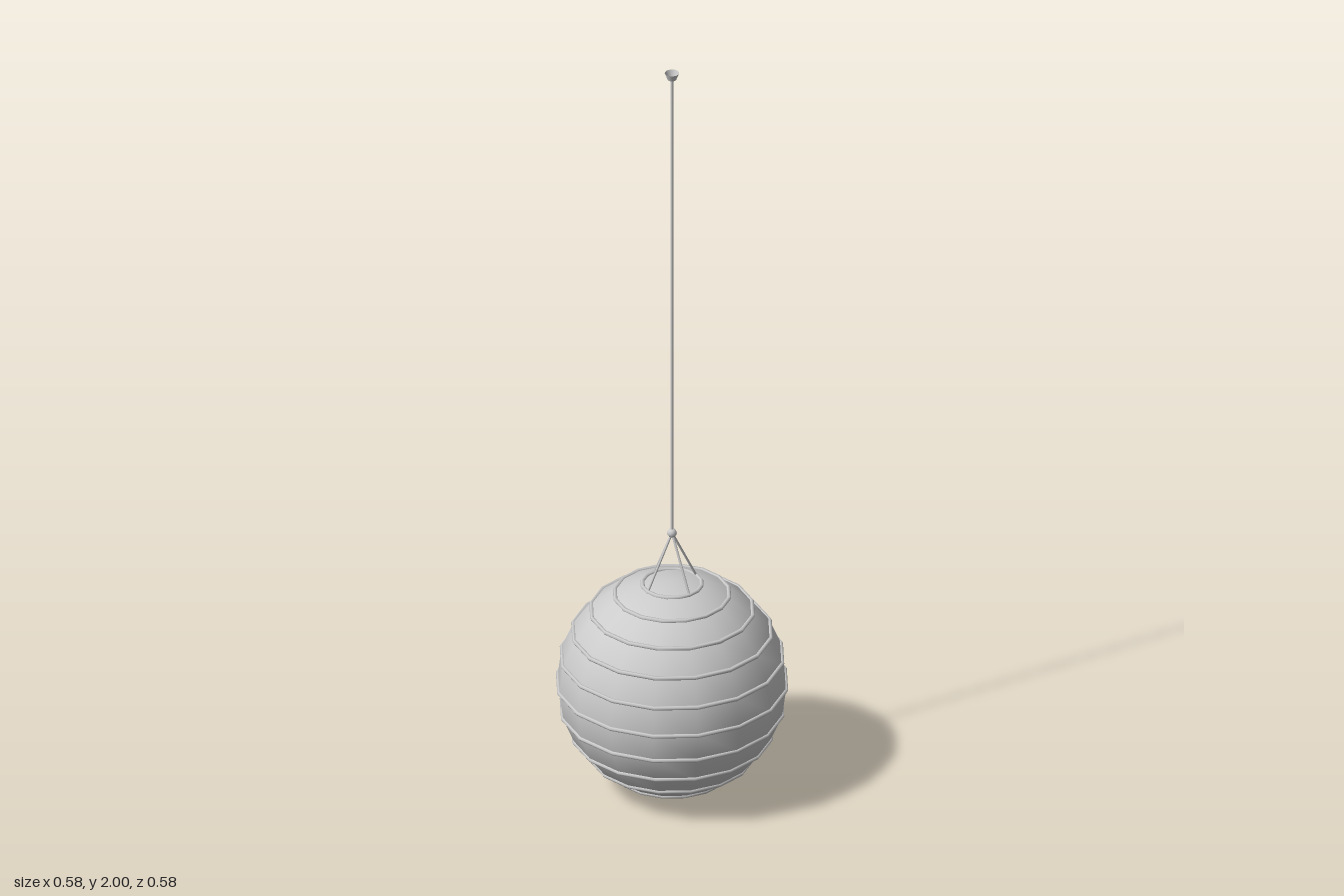
import * as THREE from 'three';

const SIDES = 16, BANDS = 12, RADIUS = 0.285, CENTRE_Y = 0.286;

export function createModel() {
  const model = new THREE.Group();
  model.name = 'hangingPaperLantern';
  const grey = new THREE.MeshStandardMaterial({ color: 0xcccccc });
  const greyOpen = new THREE.MeshStandardMaterial({ color: 0xcccccc, side: THREE.DoubleSide });

  const add = (name, geometry, material = grey) => {
    const mesh = new THREE.Mesh(geometry, material);
    mesh.name = name;
    model.add(mesh);
    return mesh;
  };

  // Straight round rod between two points
  const rod = (name, a, b, radius, sides = 8) => {
    const dir = b.clone().sub(a);
    const mesh = add(name, new THREE.CylinderGeometry(radius, radius, dir.length(), sides));
    mesh.position.copy(a).add(b).multiplyScalar(0.5);
    mesh.quaternion.setFromUnitVectors(new THREE.Vector3(0, 1, 0), dir.normalize());
    return mesh;
  };

  // Paper shade
  add('shade', new THREE.SphereGeometry(RADIUS, SIDES, BANDS)).position.y = CENTRE_Y;

  // Ribs on every latitude line of the shade
  for (let i = 1; i < BANDS; i++) {
    const angle = (i * Math.PI) / BANDS;
    const rib = add('rib' + i, new THREE.TorusGeometry(RADIUS * Math.sin(angle), 0.0055, 6, SIDES));
    rib.rotation.x = Math.PI / 2;
    rib.position.y = CENTRE_Y + RADIUS * Math.cos(angle);
  }

  // Four wires from the top rib to the knot
  const knotY = 0.704;
  for (let i = 0; i < 4; i++) {
    const a = (i * Math.PI) / 2;
    const foot = new THREE.Vector3(0.073 * Math.cos(a), 0.562, 0.073 * Math.sin(a));
    rod('wire' + (i + 1), foot, new THREE.Vector3(0, knotY, 0), 0.003, 6);
  }
  add('knot', new THREE.SphereGeometry(0.012, 10, 8)).position.y = knotY;

  // Cord and the small open cup at its top
  rod('cord', new THREE.Vector3(0, knotY, 0), new THREE.Vector3(0, 1.982, 0), 0.004);
  const cup = [[0, 1.982], [0.011, 1.982], [0.011, 1.982], [0.018, 2]];
  add('ceilingCup', new THREE.LatheGeometry(cup.map(([x, y]) => new THREE.Vector2(x, y)), 12), greyOpen);

  return model;
}
